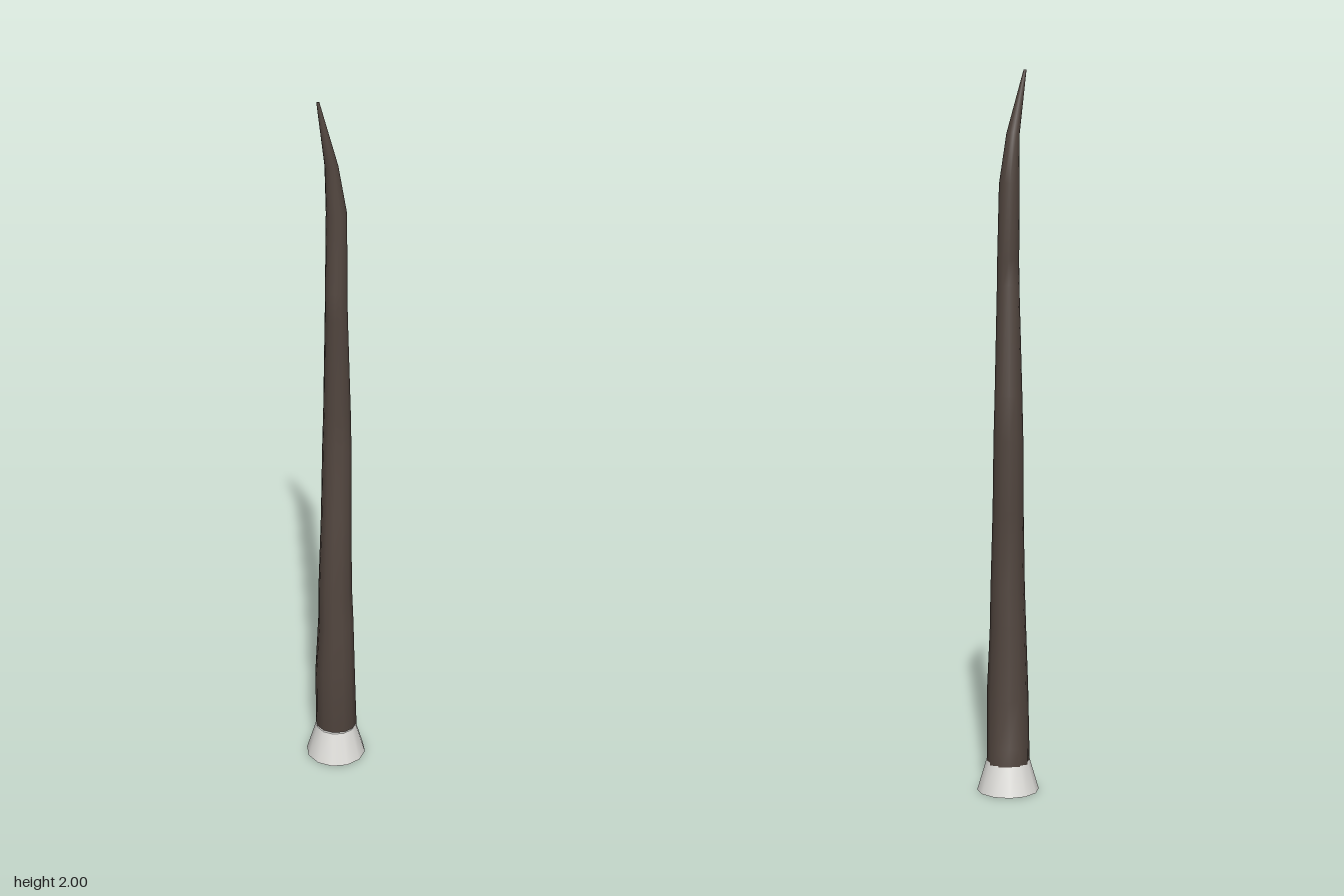
import * as THREE from 'three';

const SIDES = 12;

// Stations up the shaft: front y, front z, back y, back z, centre x, half width
const STATIONS = [
  [0.05, 0.048, 0.05, -0.064, 0, 0.06],
  [0.11, 0.053, 0.13, -0.061, 0, 0.06],
  [0.31, 0.071, 0.26, -0.035, 0, 0.058],
  [0.44, 0.05, 0.48, -0.045, 0, 0.051],
  [0.57, 0.06, 0.58, -0.029, 0, 0.048],
  [0.8, 0.034, 0.8, -0.043, 0, 0.043],
  [1.0, 0.016, 1.0, -0.051, 0, 0.041],
  [1.12, 0.011, 1.12, -0.053, 0, 0.038],
  [1.4, 0.02, 1.42, -0.032, 0, 0.031],
  [1.48, 0.02, 1.49, -0.031, 0, 0.03],
  [1.69, 0.002, 1.7, -0.05, -0.002, 0.028],
  [1.83, 0.009, 1.83, -0.025, -0.013, 0.018],
  [2.0, 0.006, 2.0, -0.002, -0.046, 0.004],
];

// Skin a tube through the tilted oval stations, closed at the tip
function shaftGeometry() {
  const pos = [], index = [];
  for (const [yf, zf, yb, zb, x, w] of STATIONS) {
    for (let i = 0; i < SIDES; i++) {
      const a = (i / SIDES) * Math.PI * 2;
      const t = (1 + Math.cos(a)) / 2;
      pos.push(x + w * Math.sin(a), yb + (yf - yb) * t, zb + (zf - zb) * t);
    }
  }
  const rows = STATIONS.length;
  for (let r = 0; r < rows - 1; r++) {
    for (let i = 0; i < SIDES; i++) {
      const j = (i + 1) % SIDES;
      const a = r * SIDES + i, b = r * SIDES + j;
      index.push(a, b, b + SIDES, a, b + SIDES, a + SIDES);
    }
  }
  const top = (rows - 1) * SIDES;
  for (let i = 1; i < SIDES - 1; i++) index.push(top, top + i, top + i + 1);
  const geo = new THREE.BufferGeometry();
  geo.setAttribute('position', new THREE.Float32BufferAttribute(pos, 3));
  geo.setIndex(index);
  geo.computeVertexNormals();
  return geo;
}

export function createModel() {
  const bark = new THREE.MeshStandardMaterial({ name: 'dark bark', color: 0x52463f });
  const pale = new THREE.MeshStandardMaterial({ name: 'pale grey', color: 0xdfdeda });
  const group = new THREE.Group();

  // Crooked tapering shaft
  const shaft = new THREE.Mesh(shaftGeometry(), bark);
  shaft.name = 'shaft';
  group.add(shaft);

  // Flared collar at the foot
  const collar = new THREE.Mesh(new THREE.CylinderGeometry(0.059, 0.087, 0.095, SIDES), pale);
  collar.name = 'baseCollar';
  collar.position.y = 0.0475;
  group.add(collar);

  return group;
}
